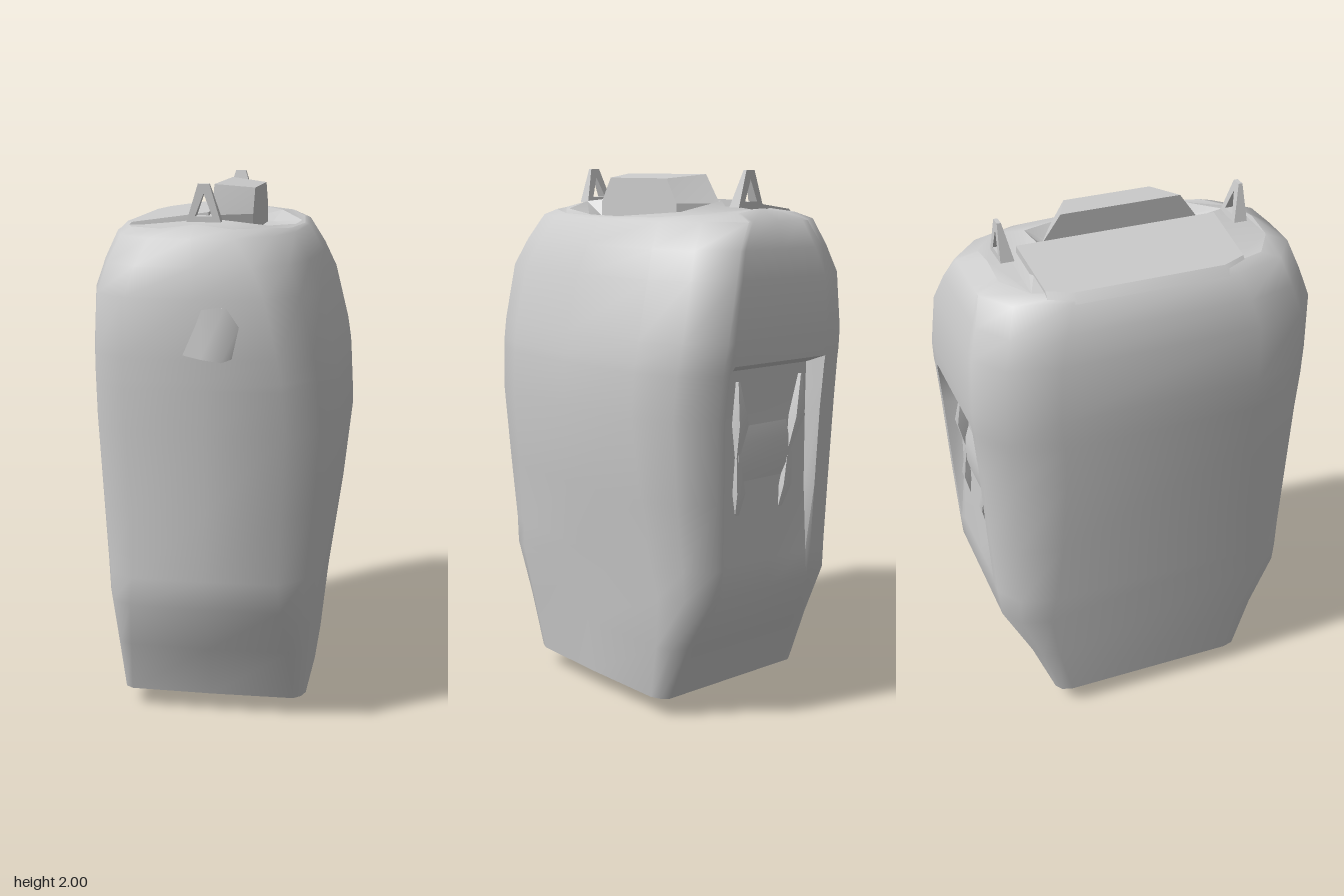
import * as THREE from 'three';
import { toCreasedNormals } from 'three/addons/utils/BufferGeometryUtils.js';

const grey = new THREE.MeshStandardMaterial({ color: 0xcccccc, side: THREE.DoubleSide });

function addMesh(group, name, geometry, crease) {
  const mesh = new THREE.Mesh(toCreasedNormals(geometry, crease), grey);
  mesh.name = name;
  group.add(mesh);
  return mesh;
}

// Skin closed loops of [x, y, z] points, with optional flat caps at both ends
function loft(rings, capStart, capEnd) {
  const n = rings[0].length, pos = rings.flat(2), idx = [];
  for (let r = 0; r + 1 < rings.length; r++) {
    for (let i = 0; i < n; i++) {
      const j = (i + 1) % n, a = r * n + i, b = r * n + j;
      idx.push(a, b, b + n, a, b + n, a + n);
    }
  }
  const cap = (r, flip) => {
    const c = pos.length / 3;
    for (let k = 0; k < 3; k++) pos.push(rings[r].reduce((s, p) => s + p[k], 0) / n);
    for (let i = 0; i < n; i++) {
      const a = r * n + i, b = r * n + (i + 1) % n;
      flip ? idx.push(b, a, c) : idx.push(a, b, c);
    }
  };
  if (capStart) cap(0, true);
  if (capEnd) cap(rings.length - 1, false);
  const g = new THREE.BufferGeometry();
  g.setAttribute('position', new THREE.Float32BufferAttribute(pos, 3));
  g.setIndex(idx);
  g.computeVertexNormals();
  return g;
}

// Pitched roof, lower towards both sides and drooping at the ends
const roofY = (x, z) => 1.89 - (x > -0.04 ? 0.19 : 0.14) * Math.abs(x + 0.04)
  - 0.2 * Math.max(0, Math.abs(z) - 0.4);

// One horizontal section: rounded corners, bulging left side, optional back recess
function section([y, xl, xr, zf, zb, cx, cz, recess = 0]) {
  const rx = cx * 1.2, bl = xl + cx, br = xr - rx;
  const pts = [
    [xl, zf - cz], [xl + 0.3 * cx, zf - 0.32 * cz], [bl, zf],
    [(bl + br) / 2, zf + 0.005], [br, zf],
    [xr - 0.42 * rx, zf - 0.4 * cz], [xr - 0.12 * rx, zf - cz], [xr, 0],
    [xr - 0.12 * rx, zb + cz], [xr - 0.42 * rx, zb + 0.4 * cz],
    [br, zb],
  ];
  for (const [t, depth] of [[0.06, 0], [0.09, 1], [0.5, 1], [0.88, 1], [0.91, 0]])
    pts.push([br + (bl - br) * t, zb + recess * depth]);
  pts.push([bl, zb], [xl + 0.3 * cx, zb + 0.32 * cz], [xl, zb + cz]);
  return pts.map(([x, z]) => [x, y ?? roofY(x, z), z]);
}

// Pinched triangular ring used for the top lugs and the bottom feet
function lugGeometry(height) {
  const s = new THREE.Shape([[-0.06, 0], [0.06, 0], [0.02, height], [-0.02, height]]
    .map(p => new THREE.Vector2(...p)));
  s.holes.push(new THREE.Path([[-0.03, 0.02], [0, height * 0.75], [0.03, 0.02]]
    .map(p => new THREE.Vector2(...p))));
  const g = new THREE.ExtrudeGeometry(s, { depth: 0.05, bevelEnabled: false }).translate(0, 0, -0.025);
  const p = g.attributes.position;
  for (let i = 0; i < p.count; i++) {
    const t = p.getY(i) / height;
    p.setZ(i, p.getZ(i) * (1 - 0.7 * t) + 0.012 * t);
  }
  return g;
}

export function createModel() {
  const model = new THREE.Group();

  // Shell: hollow base, tapered foot, bulging sides, back recess, shoulders
  const roof = section([null, -0.355, 0.268, 0.5, -0.5, 0.17, 0.24]);
  const sections = [
    [0.19, -0.29, 0.24, 0.30, -0.31, 0.06, 0.06],
    [0.075, -0.325, 0.275, 0.335, -0.345, 0.05, 0.05],
    [0.075, -0.38, 0.33, 0.39, -0.40, 0.04, 0.06],
    [0.29, -0.395, 0.355, 0.465, -0.485, 0.07, 0.09],
    [0.49, -0.41, 0.38, 0.575, -0.59, 0.11, 0.16],
    [0.60, -0.42, 0.395, 0.585, -0.6, 0.13, 0.19, 0.01],
    [0.85, -0.44, 0.43, 0.6, -0.615, 0.15, 0.23, 0.04],
    [1.15, -0.46, 0.462, 0.615, -0.63, 0.165, 0.26, 0.06],
    [1.31, -0.463, 0.453, 0.627, -0.643, 0.165, 0.27, 0.075],
    [1.34, -0.463, 0.45, 0.628, -0.647, 0.165, 0.27],
    [1.42, -0.462, 0.437, 0.632, -0.652, 0.165, 0.27],
    [1.63, -0.45, 0.385, 0.635, -0.64, 0.16, 0.27],
    [1.73, -0.42, 0.34, 0.605, -0.61, 0.16, 0.27],
    [1.825, -0.38, 0.285, 0.575, -0.58, 0.17, 0.27],
  ].map(section);
  addMesh(model, 'shell', loft([...sections, roof], true, false), 1.0);

  // Roof plate, cut out for the handle scoop
  const scoop = [[-0.04, 0.3], [0.02, 0.42], [0.17, 0.34], [0.245, 0.1],
    [0.25, -0.07], [0.15, -0.3], [-0.04, -0.31]];
  const toShape = ([x, z]) => new THREE.Vector2(x, -z);
  const plate = new THREE.Shape(roof.map(([x, , z]) => toShape([x, z])));
  plate.holes.push(new THREE.Path(scoop.map(toShape)));
  const plateGeo = new THREE.ShapeGeometry(plate).rotateX(-Math.PI / 2);
  const p = plateGeo.attributes.position;
  for (let i = 0; i < p.count; i++) p.setY(i, roofY(p.getX(i), p.getZ(i)));
  addMesh(model, 'roofPlate', plateGeo, 0.75);

  // Scoop beside the handle
  const lip = scoop.map(([x, z]) => [x, roofY(x, z), z]);
  const floor = scoop.map(([x, z]) => [0.03 + (x - 0.03) * 0.75, 1.815, z * 0.75]);
  addMesh(model, 'handleScoop', loft([lip, floor], false, true), 0.5);

  // Handle bar with sloping ends, shorter on its free side
  const bar = (x, half, top) => [[x, 1.8, half], [x, 1.88, half],
    [x, top, half * 0.75], [x, top, -half * 0.75], [x, 1.88, -half], [x, 1.8, -half]];
  addMesh(model, 'handle', loft([bar(-0.04, 0.3, 1.985), bar(0.1, 0.22, 1.97)], true, true), 0.4);

  // Thin panel next to the handle, with clipped outer corners
  const panel = (inset, lift) => [[-0.385 + inset, 0.26], [-0.35 + inset, 0.345], [-0.04, 0.36],
    [-0.04, -0.39], [-0.35 + inset, -0.38], [-0.385 + inset, -0.29]]
    .map(([x, z]) => [x, roofY(x, z) + lift, z]);
  addMesh(model, 'topPanel', loft([panel(0, -0.02), panel(0.03, 0.006)], false, true), 0.3);

  // Lugs on top and feet below, front and back
  for (const side of [1, -1]) {
    const lug = addMesh(model, side > 0 ? 'frontLug' : 'backLug', lugGeometry(0.13), 0.4);
    lug.position.set(-0.04, 1.87, side * 0.44);
    lug.rotation.y = side > 0 ? 0 : Math.PI;
    const foot = addMesh(model, side > 0 ? 'frontFoot' : 'backFoot', lugGeometry(0.19), 0.4);
    foot.position.set(-0.05, 0.19, side * 0.1);
    foot.rotation.x = Math.PI;
  }

  // Shallow lip fading up into the front
  const lipRings = [
    [[-0.12, 1.44, 0.625], [-0.02, 1.425, 0.658], [0.05, 1.415, 0.655], [0.1, 1.43, 0.625]],
    [[-0.14, 1.6, 0.625], [-0.02, 1.6, 0.638], [0.06, 1.6, 0.638], [0.14, 1.6, 0.625]],
  ];
  addMesh(model, 'frontLip', loft(lipRings, true, true), 0.75);

  // Pair of pinched grips inside the back recess
  for (const [x, lean] of [[0.12, 0], [-0.14, 0.2]]) {
    const rings = [[0.74, 0.004], [0.87, 0.02], [1.0, 0.008], [1.12, 0.022], [1.27, 0.004]].map(([y, w]) => {
      const c = x - lean * (y - 1), z = -0.56 - 0.03 * (y - 0.74);
      return [[c - w, y, z + 0.03], [c + w, y, z + 0.03], [c + w, y, z - w * 1.8], [c - w, y, z - w * 1.8]];
    });
    addMesh(model, 'backGrip', loft(rings, true, true), 0.5);
  }

  // Rounded web between the grips
  const web = [[0.85, -0.56], [0.95, -0.585], [1.05, -0.585], [1.15, -0.56]].map(([y, z]) =>
    [[-0.13, y, -0.54], [0.12, y, -0.54], [0.12, y, z], [-0.13, y, z]]);
  addMesh(model, 'gripWeb', loft(web, true, true), 0.6);

  return model;
}
